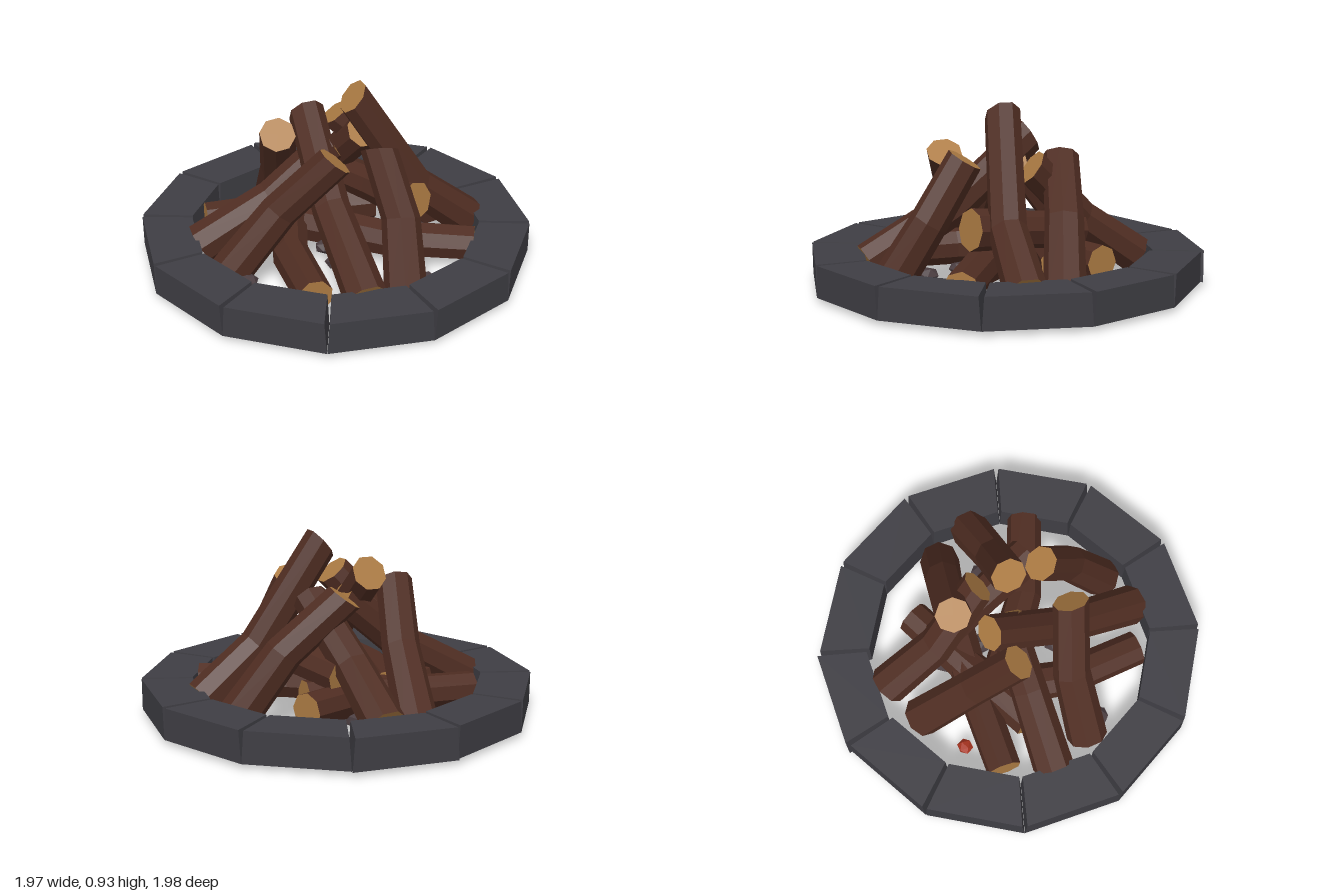
import * as THREE from 'three';

const flat = (name, color) => {
  const m = new THREE.MeshStandardMaterial({ color, flatShading: true });
  m.name = name;
  return m;
};

// Move every vertex of a geometry by a rule
function reshape(geo, rule) {
  const p = geo.attributes.position, v = new THREE.Vector3();
  for (let i = 0; i < p.count; i++) {
    v.copy(rule(v.fromBufferAttribute(p, i)));
    p.setXYZ(i, v.x, v.y, v.z);
  }
  geo.computeVertexNormals();
  return geo;
}

export function createModel() {
  const stone = flat('dark stone', 0x3f3e44);
  const bark = flat('bark brown', 0x4f2d22);
  const cutWood = flat('cut wood', 0xac7b43);
  const coalMat = flat('charcoal', 0x4a3d40);
  const emberMat = flat('ember red', 0xa83420);

  const model = new THREE.Group();
  model.name = 'campfire';
  const add = (parent, name, geo, mat) => {
    const mesh = new THREE.Mesh(geo, mat);
    mesh.name = name;
    parent.add(mesh);
    return mesh;
  };
  const group = (name) => {
    const g = new THREE.Group();
    g.name = name;
    model.add(g);
    return g;
  };

  // Ring of twelve wedge stones with joints opening towards the top; one stone sits proud
  const ring = group('stoneRing');
  for (let i = 0; i < 12; i++) {
    const mid = (i + 0.5) * Math.PI / 6;
    const shift = i === 6 ? 0.015 : 0;
    const geo = reshape(new THREE.BoxGeometry(1, 1, 1), (v) => {
      const top = v.y > 0;
      const a = mid + Math.sign(v.x) * (Math.PI / 12 - (top ? 0.013 : 0.001));
      const r = (v.z > 0 ? 0.985 : 0.73) + shift;
      return new THREE.Vector3(Math.sin(a) * r, top ? 0.2 : 0.04, Math.cos(a) * r);
    });
    add(ring, 'ringStone', geo, stone);
  }

  // A bent eight-sided log through foot, middle and tip; all its rings stay parallel
  const up = new THREE.Vector3(0, 1, 0);
  function logGeometry(points, radii) {
    const centres = points.map((p) => new THREE.Vector3(...p));
    const dir = centres[1].clone().sub(centres[0]).normalize();
    const turn = new THREE.Quaternion().setFromUnitVectors(up, dir);
    return reshape(new THREE.CylinderGeometry(1, 1, 1, 8, 2), (v) => {
      const k = Math.round((v.y + 0.5) * 2);
      return new THREE.Vector3(v.x * radii[k], 0, v.z * radii[k])
        .applyQuaternion(turn).add(centres[k]);
    });
  }

  // Leaning logs: foot, middle, tip
  const leaning = [
    [[0.67, 0.14, -0.17], [0.41, 0.37, -0.06], [0.085, 0.885, 0]],
    [[-0.67, 0.14, 0.17], [-0.32, 0.35, 0.07], [-0.02, 0.62, -0.03]],
    [[0.17, 0.14, 0.66], [-0.01, 0.4, 0.26], [-0.15, 0.75, -0.11]],
    [[-0.35, 0.09, -0.49], [-0.3, 0.39, -0.2], [-0.285, 0.68, 0.02]],
    [[-0.18, 0.14, -0.65], [-0.05, 0.35, -0.38], [0.14, 0.635, -0.15]],
    [[-0.51, 0.085, 0.36], [-0.26, 0.4, 0.29], [0.01, 0.68, 0.3]],
    [[0.52, 0.08, -0.34], [0.28, 0.41, -0.32], [-0.015, 0.67, -0.28]],
    [[0.36, 0.075, 0.52], [0.33, 0.39, 0.33], [0.22, 0.68, 0.17]],
  ];
  const pile = group('logPile');
  for (const pts of leaning) {
    add(pile, 'leaningLog', logGeometry(pts, [0.105, 0.095, 0.091]), [bark, cutWood, cutWood]);
  }

  // Logs lying underneath, the last one propped on the others
  const lying = [
    [[0.7, 0.15, 0.13], [0.25, 0.15, 0.09], [-0.15, 0.16, -0.05]],
    [[-0.07, 0.14, 0.66], [-0.21, 0.15, 0.28], [-0.25, 0.16, -0.15]],
    [[-0.67, 0.14, -0.08], [-0.2, 0.15, -0.21], [0.18, 0.16, -0.3]],
    [[0.18, 0.17, -0.5], [-0.1, 0.16, -0.24], [-0.42, 0.15, 0.08]],
    [[0, 0.3, -0.37], [0.2, 0.335, -0.13], [0.4, 0.37, 0.12]],
  ];
  for (const pts of lying) {
    add(pile, 'lyingLog', logGeometry(pts, [0.09, 0.094, 0.105]), [bark, cutWood, cutWood]);
  }

  // Flattened lumps between the logs: x, z, radius
  const bed = group('coalBed');
  const scatter = (name, mat, lumps) => lumps.forEach(([x, z, r], i) => {
    const lump = add(bed, name, new THREE.IcosahedronGeometry(r, 0), mat);
    lump.scale.y = 0.65;
    lump.rotation.y = i * 1.3;
    lump.position.set(x, 0.085, z);
  });
  scatter('coal', coalMat, [
    [0.43, -0.13, 0.055], [0.46, 0.4, 0.065], [0.01, 0.23, 0.055],
    [0.17, 0.37, 0.065], [-0.05, 0.08, 0.055], [0.04, -0.09, 0.05], [0.03, -0.16, 0.06],
    [-0.05, -0.35, 0.065], [-0.27, -0.44, 0.045], [-0.42, 0.16, 0.06], [-0.5, 0.16, 0.05],
    [-0.55, 0.14, 0.045], [-0.41, 0.43, 0.055], [-0.35, 0.05, 0.065], [0.55, 0, 0.055],
    [0.45, 0.1, 0.05],
  ]);
  scatter('ember', emberMat, [
    [0.53, -0.1, 0.04], [-0.53, 0.08, 0.04], [-0.3, -0.3, 0.04], [-0.52, -0.27, 0.042],
  ]);

  return model;
}
